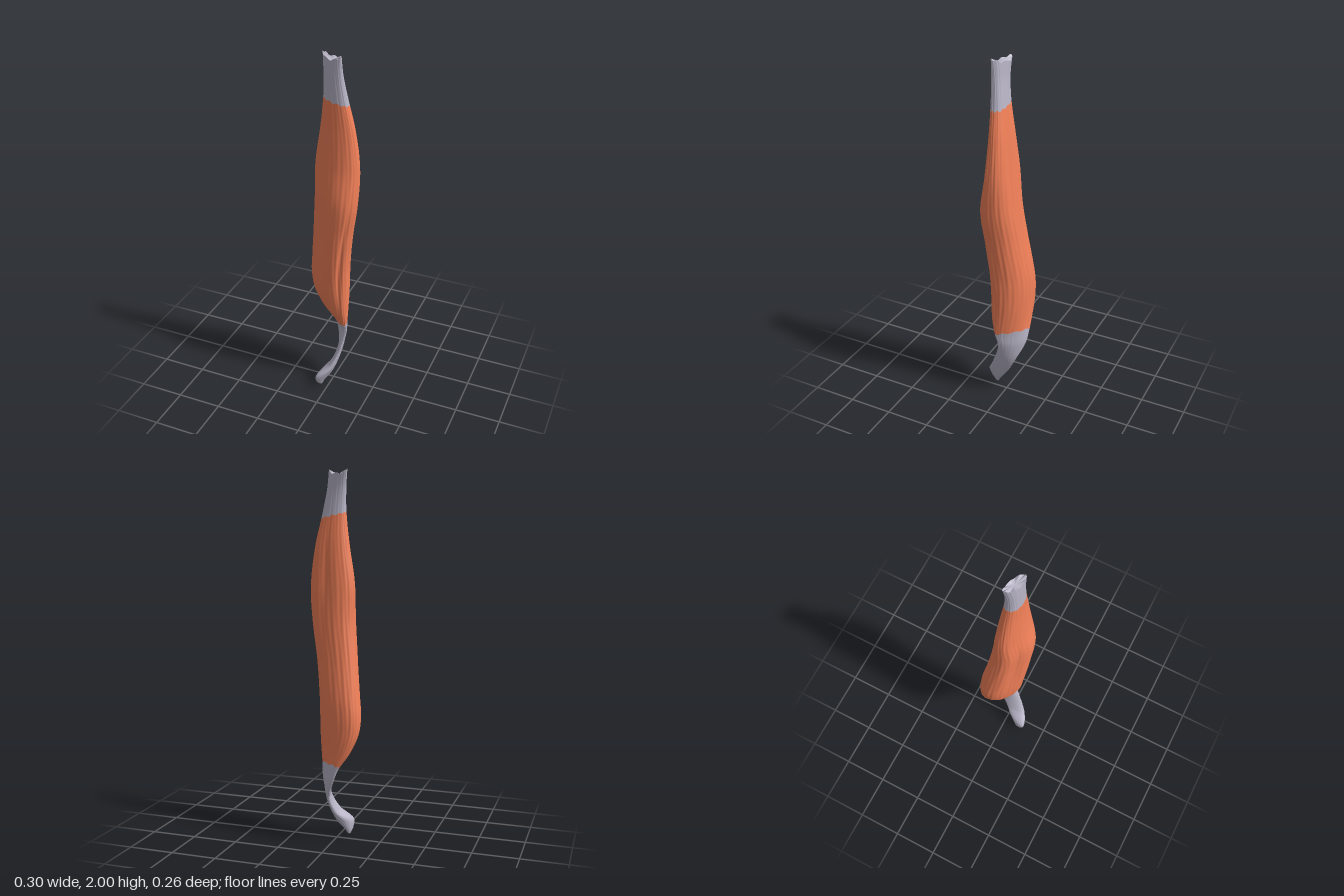
import * as THREE from 'three';

// Cross-sections from bottom to top: y, min x, max x, min z, max z, skew
const SECTIONS = [
  [0.00, -0.052, -0.038, 0.075, 0.092, -0.3],
  [0.03, -0.062, -0.024, 0.058, 0.118, -0.5],
  [0.08, -0.060, 0.010, 0.025, 0.130, -0.5],
  [0.15, -0.002, 0.038, -0.020, 0.092, 0.2],
  [0.25, 0.020, 0.064, -0.072, 0.045, 0.72],
  [0.35, -0.016, 0.081, -0.114, 0.016, 0.85],
  [0.42, -0.045, 0.087, -0.122, 0.035, 0.8],
  [0.50, -0.098, 0.090, -0.123, 0.055, 0.6],
  [0.60, -0.140, 0.092, -0.126, 0.070, 0.42],
  [0.70, -0.151, 0.093, -0.128, 0.080, 0.34],
  [0.80, -0.143, 0.096, -0.122, 0.090, 0.3],
  [1.00, -0.122, 0.116, -0.094, 0.105, 0.25],
  [1.20, -0.104, 0.145, -0.072, 0.111, 0.2],
  [1.40, -0.098, 0.150, -0.056, 0.078, 0.15],
  [1.60, -0.068, 0.125, -0.038, 0.062, 0.12],
  [1.78, -0.046, 0.086, -0.016, 0.060, 0.18],
  [1.90, -0.046, 0.066, -0.006, 0.060, 0.4],
  [2.00, -0.056, 0.060, -0.008, 0.060, 0.7],
];

// Smooth interpolation of one section column at height y
function sample(y, col) {
  const n = SECTIONS.length;
  let i = 0;
  while (i < n - 2 && y > SECTIONS[i + 1][0]) i++;
  const slope = (k) => {
    const a = SECTIONS[Math.max(k - 1, 0)], b = SECTIONS[Math.min(k + 1, n - 1)];
    return (b[col] - a[col]) / (b[0] - a[0]);
  };
  const a = SECTIONS[i], b = SECTIONS[i + 1], h = b[0] - a[0];
  const s = THREE.MathUtils.clamp((y - a[0]) / h, 0, 1), s2 = s * s, s3 = s2 * s;
  return (2 * s3 - 3 * s2 + 1) * a[col] + (s3 - 2 * s2 + s) * h * slope(i)
    + (3 * s2 - 2 * s3) * b[col] + (s3 - s2) * h * slope(i + 1);
}

const bump = (d, width) => Math.exp(-((d / width) ** 2));
const angleGap = (a, b) => Math.atan2(Math.sin(a - b), Math.cos(a - b));
const fuller = (c) => c * (1.1 - 0.1 * c * c);

// Point on the skin at angle t and height y
function skin(t, y) {
  const [x0, x1, z0, z1, skew] = [1, 2, 3, 4, 5].map((c) => sample(y, c));
  // Long furrows at the back and outer side, and a flattened front face
  const furrows = 0.13 * bump(angleGap(t, -1.35), 0.28) * bump(y - 1.48, 0.26)
    + 0.12 * bump(angleGap(t, 0.75 - 0.5 * (y - 0.8)), 0.22) * bump(y - 0.85, 0.3)
    + 0.32 * bump(angleGap(t, 2.1), 0.5) * bump(y - 1.05, 0.36);
  // Fine fibres that twist with height
  const fibres = 0.007 * Math.sin(17 * t + 6 * y) + 0.006 * Math.sin(29 * t - 9 * y);
  const r = 1 - furrows + fibres;
  return new THREE.Vector3(
    (x0 + x1) / 2 + r * (x1 - x0) / 2 * fuller(Math.cos(t)),
    y,
    (z0 + z1) / 2 + r * (z1 - z0) / 2 * fuller(Math.sin(t + Math.asin(skew))),
  );
}

function skinNormal(t, y) {
  const e = 0.004, lo = Math.max(y - e, 0), hi = Math.min(y + e, 2);
  const up = skin(t, hi).sub(skin(t, lo));
  const around = skin(t + e, y).sub(skin(t - e, y));
  return up.cross(around).normalize();
}

// Sleeve of skin between two wavy borders, each a height by angle
function sleeve(name, color, low, high, rows) {
  const cols = 128, pos = [], nor = [], index = [];
  for (let i = 0; i <= rows; i++) {
    for (let j = 0; j <= cols; j++) {
      const t = (j / cols) * Math.PI * 2;
      const y = THREE.MathUtils.lerp(low(t), high(t), i / rows);
      pos.push(...skin(t, y));
      nor.push(...skinNormal(t, y));
      if (i < rows && j < cols) {
        const a = i * (cols + 1) + j, c = a + cols + 1;
        index.push(a, c, a + 1, a + 1, c, c + 1);
      }
    }
  }
  return makeMesh(name, color, pos, index, nor);
}

// Fan that closes an end
function endCap(name, color, border, centreY, up) {
  const cols = 128, pos = [], index = [];
  const centre = new THREE.Vector3();
  for (let j = 0; j < cols; j++) {
    const t = (j / cols) * Math.PI * 2, p = skin(t, border(t)), k = (j + 1) % cols;
    centre.addScaledVector(p, 1 / cols);
    pos.push(...p);
    index.push(cols, up ? k : j, up ? j : k);
  }
  pos.push(centre.x, centreY, centre.z);
  return makeMesh(name, color, pos, index);
}

function makeMesh(name, color, pos, index, nor) {
  const g = new THREE.BufferGeometry();
  g.setAttribute('position', new THREE.Float32BufferAttribute(pos, 3));
  g.setIndex(index);
  if (nor) g.setAttribute('normal', new THREE.Float32BufferAttribute(nor, 3));
  else g.computeVertexNormals();
  const mesh = new THREE.Mesh(g, new THREE.MeshStandardMaterial({ color }));
  mesh.name = name;
  return mesh;
}

export function createModel() {
  const tendon = 0xbab6c8, red = 0xf5825a;
  const bottom = () => 0;
  const lowerSeam = (t) => 0.425 - 0.018 * Math.sin(t) + 0.004 * Math.sin(9 * t);
  const upperSeam = (t) => 1.76 - 0.016 * Math.cos(t) + 0.004 * Math.sin(11 * t);
  const ragged = (t) => 1.985 + 0.009 * Math.cos(2 * t) + 0.005 * Math.sin(7 * t);

  const model = new THREE.Group();
  model.name = 'muscle';
  model.add(
    sleeve('lowerTendon', tendon, bottom, lowerSeam, 50),
    sleeve('muscleBelly', red, lowerSeam, upperSeam, 120),
    sleeve('upperTendon', tendon, upperSeam, ragged, 30),
    endCap('lowerTendonTip', tendon, bottom, 0, false),
    endCap('upperTendonEnd', tendon, ragged, 1.97, true),
  );
  return model;
}
